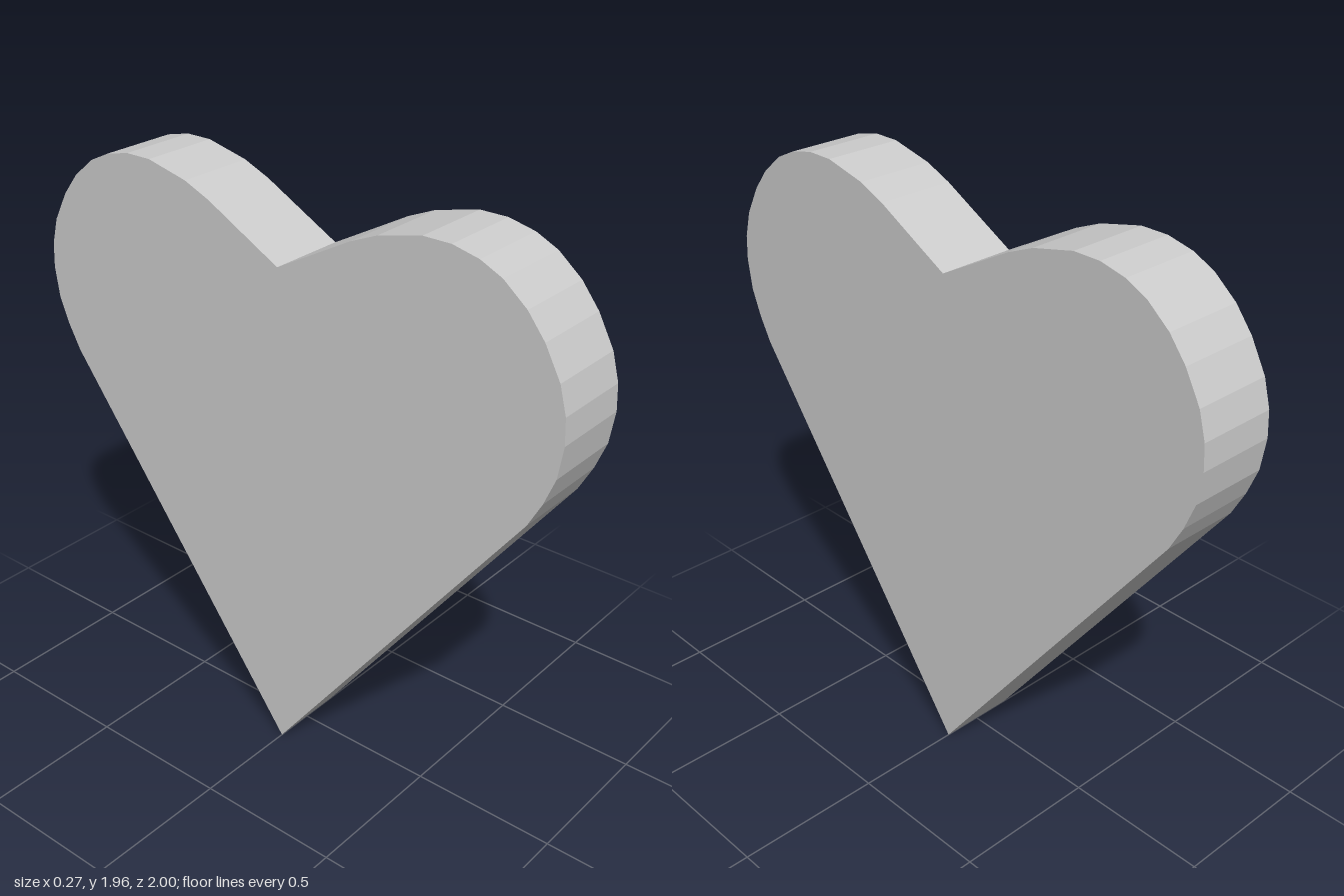
import * as THREE from 'three';

const THICKNESS = 0.27;

// One half of the heart outline, from the bottom tip up to the notch
const HALF = [
  [0, 0], [0.905, 1.21], [0.95, 1.295], [0.985, 1.385], [1, 1.49],
  [0.995, 1.575], [0.97, 1.665], [0.915, 1.765], [0.855, 1.84],
  [0.775, 1.905], [0.7, 1.94], [0.61, 1.96], [0.515, 1.96],
  [0.365, 1.925], [0.27, 1.885], [0.14, 1.815], [0, 1.74],
];

export function createModel() {
  const group = new THREE.Group();
  group.name = 'heart';

  // Mirror the half to close the outline
  const mirrored = HALF.slice(1, -1).reverse().map(([x, y]) => [-x, y]);
  const outline = [...HALF, ...mirrored].map(([x, y]) => new THREE.Vector2(x, y));

  // Extrude the slab and turn its flat faces towards the sides
  const geometry = new THREE.ExtrudeGeometry(new THREE.Shape(outline), {
    depth: THICKNESS, bevelEnabled: false,
  });
  geometry.translate(0, 0, -THICKNESS / 2);
  geometry.rotateY(Math.PI / 2);

  const slab = new THREE.Mesh(
    geometry,
    new THREE.MeshStandardMaterial({ color: 0xcccccc, flatShading: true }),
  );
  slab.name = 'heartSlab';
  group.add(slab);
  return group;
}
